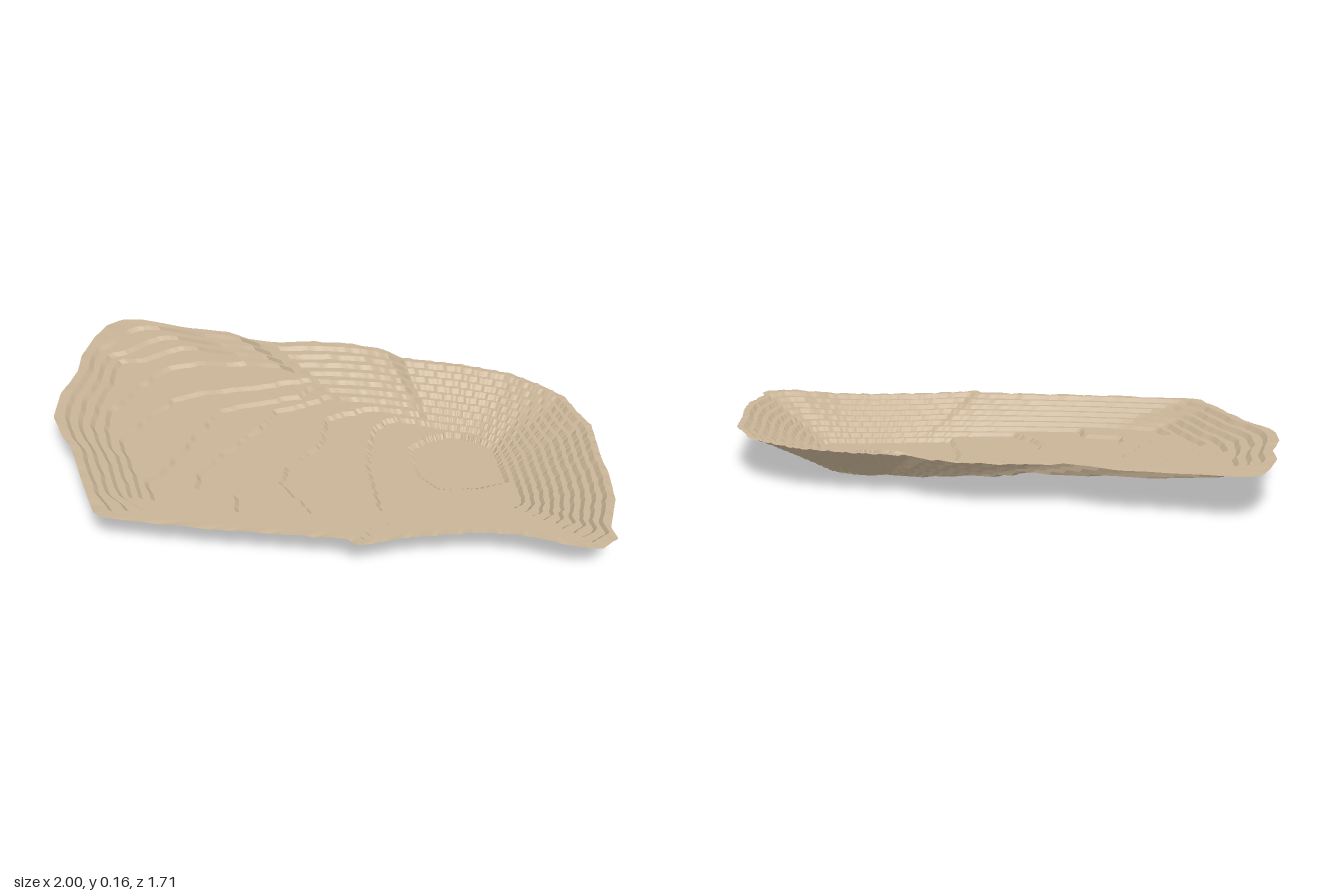
import * as THREE from 'three';

// Open terraced pit: nested contours, each found by casting rays from the deepest part
const CX = 0.5, CZ = 0.15, RAYS = 540, LEVELS = 10, STEP = 0.0155, BASE = 0.004;

// Outer rim, x/z pairs
const rim = [
  -0.71, -0.86, -0.64, -0.85, -0.45, -0.76, -0.25, -0.69, -0.215, -0.64, -0.13, -0.6, 0.05, -0.58,
  0.2, -0.54, 0.32, -0.48, 0.38, -0.41, 0.6, -0.33, 0.78, -0.24, 0.88, -0.14, 0.95, -0.05,
  0.97, 0.05, 1, 0.15, 0.98, 0.35, 0.98, 0.45, 0.96, 0.6, 0.9, 0.75, 0.91, 0.81, 0.84, 0.855,
  0.77, 0.84, 0.6, 0.75, 0.45, 0.71, 0.2, 0.7, 0.02, 0.72, -0.01, 0.68, -0.2, 0.63,
  -0.5, 0.55, -0.84, 0.44, -0.87, 0.41, -0.9, 0.25, -0.94, 0, -0.97, -0.07, -1, -0.2,
  -0.97, -0.35, -0.9, -0.5, -0.88, -0.62, -0.82, -0.75, -0.77, -0.83, -0.71, -0.86,
];

// Foot of the walls where they would meet the lowest level
const foot = [
  -0.44, -0.43, -0.2, -0.31, 0, -0.23, 0.2, -0.19, 0.45, -0.09, 0.6, -0.03, 0.66, 0.04,
  0.66, 0.37, 0.62, 0.39, 0.2, 0.36, -0.05, 0.34, -0.5, 0.25, -0.53, 0, -0.5, -0.3, -0.44, -0.43,
];

// Floor contours running from the back wall to the front or left wall
const floorLines = [
  [0.66, 0.02, 0.52, -0.07, 0.42, -0.05, 0.34, 0, 0.34, 0.18, 0.4, 0.27, 0.55, 0.285, 0.67, 0.26],
  [0.4, -0.2, 0.28, -0.17, 0.22, -0.12, 0.18, 0, 0.155, 0.12, 0.16, 0.5],
  [0.3, -0.26, 0.05, -0.2, 0, -0.03, -0.15, 0.1, -0.18, 0.2, -0.1, 0.36, -0.08, 0.6],
  [0.15, -0.37, 0, -0.29, -0.15, -0.25, -0.2, -0.17, -0.36, -0.02, -0.47, 0.1, -0.5, 0.2, -0.36, 0.25, -0.36, 0.5],
  [0.1, -0.45, -0.05, -0.32, -0.36, -0.27, -0.48, -0.1, -0.54, 0, -0.63, 0.12, -0.8, 0.2],
  [0.1, -0.48, 0, -0.41, -0.25, -0.38, -0.42, -0.38, -0.54, -0.34, -0.65, -0.23, -0.75, -0.1, -0.9, 0],
  [-0.1, -0.55, -0.3, -0.54, -0.42, -0.57, -0.54, -0.55, -0.65, -0.45, -0.74, -0.33, -0.9, -0.2],
];

// Nearest distance from the centre to a polyline in direction (dx, dz)
function cast(line, dx, dz) {
  let best = Infinity;
  for (let i = 0; i + 3 < line.length; i += 2) {
    const ax = line[i] - CX, az = line[i + 1] - CZ;
    const ex = line[i + 2] - line[i], ez = line[i + 3] - line[i + 1];
    const det = dx * ez - dz * ex;
    if (Math.abs(det) < 1e-9) continue;
    const r = (ax * ez - az * ex) / det;
    const u = (ax * dz - az * dx) / det;
    if (r > 0 && u >= -1e-6 && u <= 1 + 1e-6) best = Math.min(best, r);
  }
  return best;
}

// Repeatable rough edge
const wobble = (a, k) =>
  0.5 * Math.sin(a * 47 + k * 2.3) + 0.3 * Math.sin(a * 83 + k * 5.1) + 0.2 * Math.sin(a * 131 + k * 1.7);

// Contour radii for one direction, kept nested from the rim inwards
function contours(a) {
  const dx = Math.cos(a), dz = Math.sin(a);
  const outer = cast(rim, dx, dz), inner = cast(foot, dx, dz);
  const radii = [];
  radii[LEVELS + 1] = outer;
  for (let k = LEVELS; k >= 1; k--) {
    let r = inner + (outer - inner) * (k - 1) / LEVELS + 0.004 * wobble(a, k);
    if (floorLines[k - 1]) r = Math.min(r, cast(floorLines[k - 1], dx, dz) + 0.008 * wobble(a, k));
    radii[k] = Math.min(r, radii[k + 1] - 0.02);
  }
  return radii;
}

function terraceGeometry() {
  const positions = [CX, BASE, CZ], index = [];
  const perRay = 2 * LEVELS + 1, half = 0.008;
  for (let i = 0; i < RAYS; i++) {
    const a = i / RAYS * Math.PI * 2, radii = contours(a);
    const put = (r, y) => positions.push(CX + Math.cos(a) * r, y, CZ + Math.sin(a) * r);
    // Each step: foot of the riser, then its top edge
    for (let k = 1; k <= LEVELS; k++) {
      put(radii[k] - half, BASE + (k - 1) * STEP);
      put(radii[k] + half, BASE + k * STEP);
    }
    put(radii[LEVELS + 1], BASE + LEVELS * STEP + 0.003 * wobble(a, 20));
  }
  for (let i = 0; i < RAYS; i++) {
    const p = 1 + i * perRay, q = 1 + ((i + 1) % RAYS) * perRay;
    index.push(0, q, p);
    for (let j = 0; j < perRay - 1; j++) {
      index.push(p + j, q + j, q + j + 1, p + j, q + j + 1, p + j + 1);
    }
  }
  const geometry = new THREE.BufferGeometry();
  geometry.setAttribute('position', new THREE.Float32BufferAttribute(positions, 3));
  geometry.setIndex(index);
  const flat = geometry.toNonIndexed();
  flat.computeVertexNormals();
  return flat;
}

export function createModel() {
  const group = new THREE.Group();
  group.name = 'terracedPit';
  const earth = new THREE.MeshStandardMaterial({ color: 0xc9b497, flatShading: true, side: THREE.DoubleSide });
  const terraces = new THREE.Mesh(terraceGeometry(), earth);
  terraces.name = 'terraces';
  group.add(terraces);
  return group;
}
